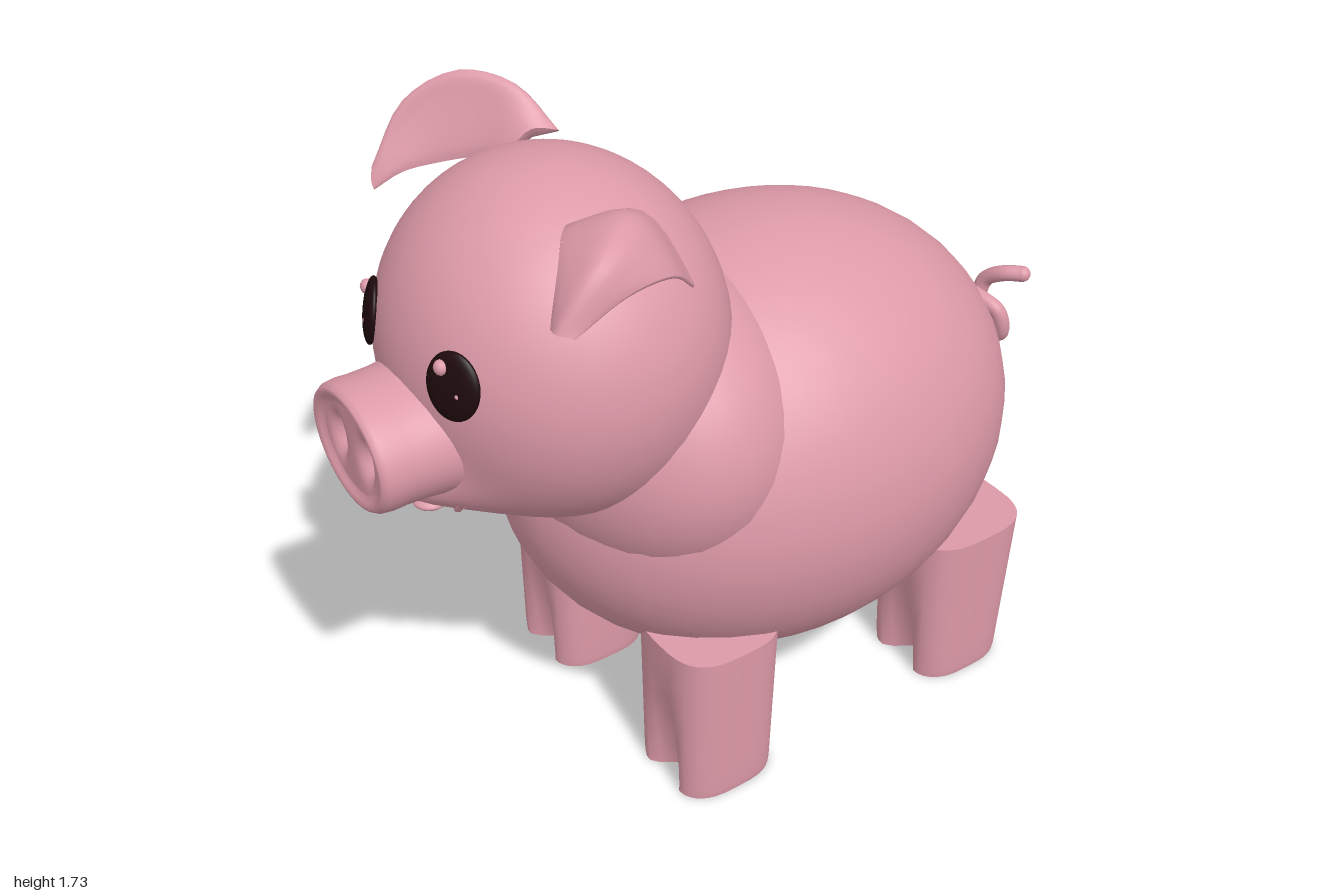
import * as THREE from 'three';
import { mergeVertices } from 'three/addons/utils/BufferGeometryUtils.js';

const V = (x, y, z) => new THREE.Vector3(x, y, z);
const pink = new THREE.MeshStandardMaterial({ color: 0xdd9aa8, side: THREE.DoubleSide });
pink.name = 'pink skin';
const dark = new THREE.MeshStandardMaterial({ color: 0x1e0a0c });
dark.name = 'dark eye';

// Head ellipsoid: centre and radii
const HC = V(0, 1.22, 0.47), HR = V(0.43, 0.43, 0.4);
const chinBulge = (x, y) => 0.16 * Math.exp(-((x / 0.16) ** 2) - ((y - 0.95) / 0.1) ** 2);
function headZ(x, y) {
  const s = Math.sqrt(Math.max(0, 1 - (x / HR.x) ** 2 - ((y - HC.y) / HR.y) ** 2));
  return HC.z + s * (HR.z + chinBulge(x, y));
}

// Closed skin over loops of points, with flat caps at both ends
function loft(rows) {
  const n = rows[0].length, pts = rows.flat(), index = [];
  for (let r = 0; r < rows.length - 1; r++) {
    for (let i = 0; i < n; i++) {
      const a = r * n + i, b = r * n + (i + 1) % n;
      index.push(a, a + n, b, b, a + n, b + n);
    }
  }
  for (const row of [rows[0], rows[rows.length - 1]]) {
    const start = pts.length, first = row === rows[0];
    const c = row.reduce((s, p) => s.add(p), V(0, 0, 0)).divideScalar(n);
    pts.push(...row, c);
    for (let i = 0; i < n; i++) {
      const a = start + i, b = start + (i + 1) % n;
      index.push(start + n, first ? a : b, first ? b : a);
    }
  }
  // Turn the skin outward if its volume is negative
  let volume = 0;
  for (let i = 0; i < index.length; i += 3) {
    volume += pts[index[i]].dot(V(0, 0, 0).crossVectors(pts[index[i + 1]], pts[index[i + 2]]));
  }
  if (volume < 0) index.reverse();
  const g = new THREE.BufferGeometry().setFromPoints(pts);
  g.setIndex(index);
  g.computeVertexNormals();
  return g;
}

// Leg: rounded square column with a cleft at the front of the hoof
function legGeometry(cx, zBottom, zTop) {
  const rows = [0.005, 0.03, 0.1, 0.18, 0.26, 0.36, 0.45].map((y, k) => {
    const t = y / 0.45, row = [];
    const z0 = THREE.MathUtils.lerp(zBottom[0], zTop[0], t);
    const z1 = THREE.MathUtils.lerp(zBottom[1], zTop[1], t);
    const rx = (0.144 + 0.008 * t) * (k ? 1 : 0.97);
    for (let i = 0; i < 40; i++) {
      const a = i / 40 * Math.PI * 2, c = Math.cos(a), s = Math.sin(a);
      const px = Math.sign(c) * Math.abs(c) ** 0.65, pz = Math.sign(s) * Math.abs(s) ** 0.65;
      const cleft = s > 0 ? Math.max(0, 1 - y / 0.33) * 0.09 * Math.exp(-((px / 0.28) ** 2)) : 0;
      row.push(V(cx + px * rx, y, (z0 + z1) / 2 + pz * (z1 - z0) / 2 - cleft));
    }
    return row;
  });
  return loft(rows);
}

// Ear: curved leaf through ribs of three points, swelling in the middle
function earGeometry(ribs) {
  const columns = [0, 1, 2].map(k => new THREE.CatmullRomCurve3(ribs.map(r => V(...r[k]))));
  const rows = [], m = 10, steps = 16;
  for (let j = 0; j <= steps; j++) {
    const u = j / steps, three = columns.map(c => c.getPoint(u));
    const along = columns[1].getTangent(u);
    const side = three[2].clone().sub(three[0]).normalize();
    const normal = along.cross(side).normalize();
    const line = new THREE.CatmullRomCurve3(three);
    const thick = 0.018 * Math.sqrt(1.02 - u ** 4);
    const sheet = (i, s) => line.getPoint(i / m)
      .addScaledVector(normal, s * thick * Math.sqrt(Math.sin(Math.PI * i / m) + 0.05));
    const row = [];
    for (let i = 0; i <= m; i++) row.push(sheet(i, 1));
    for (let i = m; i >= 0; i--) row.push(sheet(i, -1));
    rows.push(row);
  }
  return loft(rows);
}

// Snout: lathe with a rounded rim and two pressed-in nostrils
function snoutGeometry() {
  const profile = [[1.02, -0.06], [1.02, 0.04], [0.98, 0.1], [0.97, 0.15], [0.98, 0.18],
    [0.96, 0.205], [0.91, 0.218], [0.85, 0.22], [0.79, 0.215]].map(p => new THREE.Vector2(...p));
  for (let i = 15; i >= 0; i--) profile.push(new THREE.Vector2(i * 0.048, 0.208));
  let g = new THREE.LatheGeometry(profile, 64);
  g.rotateX(Math.PI / 2);
  g.scale(0.182, 0.15, 1);
  const p = g.attributes.position;
  for (let i = 0; i < p.count; i++) {
    if (p.getZ(i) < 0.19) continue;
    const x = Math.abs(p.getX(i)), y = p.getY(i);
    p.setZ(i, p.getZ(i) - 0.05 * Math.exp(-(((x - 0.065) / 0.024) ** 2) - (y / 0.04) ** 2));
  }
  g.deleteAttribute('uv');
  g.deleteAttribute('normal');
  g = mergeVertices(g, 1e-5);
  g.computeVertexNormals();
  return g;
}

export function createModel() {
  const pig = new THREE.Group();
  pig.name = 'pig';
  const add = (name, geometry, material = pink) => {
    const mesh = new THREE.Mesh(geometry, material);
    mesh.name = name;
    pig.add(mesh);
    return mesh;
  };
  const ellipsoid = (name, c, r, material = pink, seg = 40) => {
    const g = new THREE.SphereGeometry(1, seg, Math.round(seg * 0.7));
    g.scale(r.x, r.y, r.z);
    const mesh = add(name, g, material);
    mesh.position.copy(c);
    return mesh;
  };

  // Torso and neck
  ellipsoid('body', V(0, 0.76, -0.1), V(0.56, 0.572, 0.695));
  ellipsoid('neck', V(0, 0.95, 0.25), V(0.48, 0.41, 0.36));

  // Head with a chin bulging below the snout
  const head = ellipsoid('head', HC, HR, pink, 56);
  const p = head.geometry.attributes.position;
  for (let i = 0; i < p.count; i++) {
    const z = p.getZ(i);
    if (z > 0) p.setZ(i, z * (1 + chinBulge(p.getX(i), p.getY(i) + HC.y) / HR.z));
  }
  head.geometry.computeVertexNormals();

  add('snout', snoutGeometry()).position.set(0, 1.1, 0.78);

  // Smile and lower lip
  const smile = [];
  for (let i = -4; i <= 4; i++) {
    const x = i * 0.035, y = 0.875 + 0.075 * (i / 4) ** 2;
    smile.push(V(x, y, headZ(x, y)));
  }
  add('smile', new THREE.TubeGeometry(new THREE.CatmullRomCurve3(smile), 32, 0.009, 8));
  ellipsoid('lowerLip', V(0, 0.887, 0.815), V(0.042, 0.016, 0.042), pink, 20);

  // Eyes with two highlights each
  for (const [side, name] of [[1, 'left'], [-1, 'right']]) {
    const x = side * 0.188, y = 1.3, z = headZ(x, y);
    const normal = V(x, y, z).sub(HC).divide(HR).divide(HR).normalize();
    const eye = ellipsoid(name + 'Eye', V(x, y, z), V(0.069, 0.08, 0.02), dark, 32);
    eye.quaternion.setFromUnitVectors(V(0, 0, 1), normal);
    for (const [dx, dy, r] of [[-0.026, 0.04, 0.018], [0.02, -0.012, 0.007]]) {
      const c = V(x + dx, y + dy, headZ(x + dx, y + dy)).addScaledVector(normal, 0.015);
      ellipsoid(name + 'EyeHighlight', c, V(r, r, r * 0.9), pink, 12);
    }
  }

  // Ears: the left one flops outward, the right one stands and curls forward
  add('leftEar', earGeometry([
    [[0.17, 1.58, 0.51], [0.25, 1.59, 0.39], [0.35, 1.45, 0.32]],
    [[0.24, 1.61, 0.57], [0.33, 1.64, 0.47], [0.42, 1.54, 0.42]],
    [[0.33, 1.57, 0.64], [0.41, 1.61, 0.58], [0.445, 1.55, 0.54]],
    [[0.38, 1.49, 0.69], [0.415, 1.495, 0.695], [0.44, 1.49, 0.67]]]));
  add('rightEar', earGeometry([
    [[-0.15, 1.62, 0.34], [-0.18, 1.62, 0.39], [-0.2, 1.57, 0.45]],
    [[-0.25, 1.71, 0.39], [-0.27, 1.67, 0.42], [-0.27, 1.55, 0.49]],
    [[-0.35, 1.73, 0.48], [-0.365, 1.67, 0.51], [-0.33, 1.53, 0.56]],
    [[-0.415, 1.66, 0.59], [-0.41, 1.6, 0.6], [-0.37, 1.51, 0.63]],
    [[-0.42, 1.52, 0.68], [-0.41, 1.49, 0.69], [-0.4, 1.47, 0.69]]]));

  // Legs
  for (const [side, name] of [[1, 'left'], [-1, 'right']]) {
    add(name + 'FrontLeg', legGeometry(side * 0.3, [0.12, 0.4], [0.1, 0.4]));
    add(name + 'BackLeg', legGeometry(side * 0.3, [-0.65, -0.37], [-0.69, -0.36]));
  }

  // Curly tail with rounded ends
  const tail = [[0, 0.86, -0.84], [0.07, 0.83, -0.865], [0.07, 0.755, -0.885], [0, 0.728, -0.9],
    [-0.06, 0.76, -0.92], [-0.06, 0.84, -0.935], [0, 0.885, -0.95], [0.04, 0.892, -0.978]].map(a => V(...a));
  add('tail', new THREE.TubeGeometry(new THREE.CatmullRomCurve3(tail), 64, 0.022, 12));
  ellipsoid('tailRoot', tail[0], V(0.022, 0.022, 0.022), pink, 16);
  ellipsoid('tailTip', tail[7], V(0.022, 0.022, 0.022), pink, 16);

  return pig;
}
